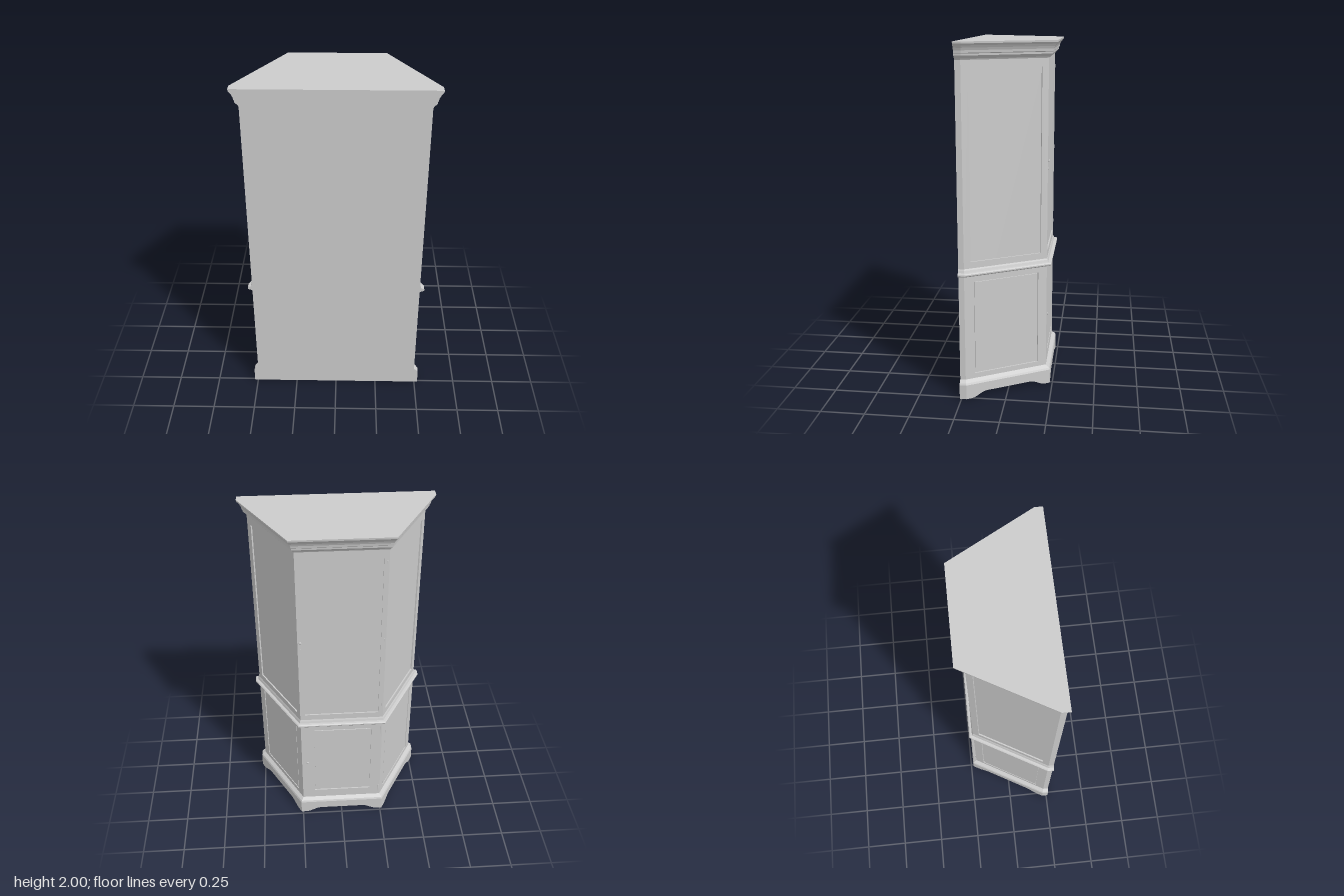
import * as THREE from 'three';

const MAT = new THREE.MeshStandardMaterial({ color: 0xcccccc, flatShading: true });
const SMOOTH = new THREE.MeshStandardMaterial({ color: 0xcccccc });
const DEPTH = 0.008; // depth of the sunk panels

// Six-cornered floor plan, grown outward by d; the flat back stays at z = back
function plan(d, back = 0.26) {
  const nx = 0.8695, nz = 0.494, c = 0.3177 + d;
  const side = 0.495 + d, zf = -0.21 - d;
  const half = [
    [side, back],
    [side, (nx * side - c) / nz],
    [(c + nz * zf) / nx, zf],
  ];
  return [...half, ...half.map(([x, z]) => [-x, z]).reverse()];
}

function meshFrom(name, positions) {
  const geo = new THREE.BufferGeometry();
  geo.setAttribute('position', new THREE.Float32BufferAttribute(positions, 3));
  geo.computeVertexNormals();
  const mesh = new THREE.Mesh(geo, MAT);
  mesh.name = name;
  return mesh;
}

const quad = (out, a, b, c, d) => out.push(...a, ...b, ...c, ...a, ...c, ...d);

// Capped solid that follows the plan through a profile of [y, outward offset]
function moulding(name, profile) {
  const pos = [];
  const rings = profile.map(([y, d]) => plan(d).map(([x, z]) => [x, y, z]));
  for (let r = 0; r < rings.length - 1; r++) {
    for (let i = 0; i < 6; i++) {
      const j = (i + 1) % 6;
      quad(pos, rings[r][i], rings[r][j], rings[r + 1][j], rings[r + 1][i]);
    }
  }
  const low = rings[0], top = rings[rings.length - 1];
  for (let i = 1; i < 5; i++) {
    pos.push(...top[0], ...top[i], ...top[i + 1]);
    pos.push(...low[0], ...low[i + 1], ...low[i]);
  }
  return meshFrom(name, pos);
}

// Hollow plinth wall; the three display sides are cut away between the feet
function plinth(top) {
  const pos = [];
  const outer = plan(0.025), inner = plan(-0.005, 0.235);
  const steps = [0, 0.06, 0.09, 0.12, 0.15, 0.18, 0.21, 0.24];
  const stops = [...steps, ...steps.map((s) => 1 - s).reverse()];
  const lift = (s) => 0.032 * THREE.MathUtils.smoothstep(Math.min(s, 1 - s), 0.06, 0.24);
  for (let i = 0; i < 6; i++) {
    const j = (i + 1) % 6;
    const shaped = i >= 1 && i <= 3;
    const at = (ring, s, y) => [
      ring[i][0] + (ring[j][0] - ring[i][0]) * s, y,
      ring[i][1] + (ring[j][1] - ring[i][1]) * s,
    ];
    const list = shaped ? stops : [0, 1];
    for (let k = 0; k < list.length - 1; k++) {
      const s = list[k], t = list[k + 1];
      const ys = shaped ? lift(s) : 0, yt = shaped ? lift(t) : 0;
      quad(pos, at(outer, s, ys), at(outer, t, yt), at(outer, t, top), at(outer, s, top));
      quad(pos, at(inner, t, yt), at(inner, s, ys), at(inner, s, top), at(inner, t, top));
      quad(pos, at(inner, s, ys), at(inner, t, yt), at(outer, t, yt), at(outer, s, ys));
    }
  }
  return meshFrom('plinth', pos);
}

function rectangle(Type, x0, x1, y0, y1) {
  return new Type([[x0, y0], [x1, y0], [x1, y1], [x0, y1]].map(([x, y]) => new THREE.Vector2(x, y)));
}

// Group lying on one side of the body: x along the side, y up, z outward
function sideGroup(name, i) {
  const p = plan(0), a = p[i], b = p[i + 1];
  const along = new THREE.Vector3(b[0] - a[0], 0, b[1] - a[1]);
  const length = along.length();
  along.normalize();
  const up = new THREE.Vector3(0, 1, 0);
  const group = new THREE.Group();
  group.name = name;
  group.quaternion.setFromRotationMatrix(
    new THREE.Matrix4().makeBasis(along, up, along.clone().cross(up)));
  group.position.set(a[0], 0, a[1]);
  return { group, length };
}

// Flat facing, with an optional opening [x0, x1, y0, y1] and a raised field in it
function facing(name, length, y0, y1, opening, raised) {
  const group = new THREE.Group();
  group.name = name;
  const add = (part, shape, depth) => {
    const geo = new THREE.ExtrudeGeometry(shape, { depth, bevelEnabled: false });
    const mesh = new THREE.Mesh(geo.translate(0, 0, -DEPTH), MAT);
    mesh.name = part;
    group.add(mesh);
  };
  const frame = rectangle(THREE.Shape, 0, length, y0, y1);
  if (opening) frame.holes.push(rectangle(THREE.Path, ...opening));
  add('frame', frame, DEPTH);
  if (raised) {
    const [a, b, c, d] = opening, g = 0.006;
    add('raisedField', rectangle(THREE.Shape, a + g, b - g, c + g, d - g), DEPTH * 0.8);
  }
  return group;
}

export function createModel() {
  const model = new THREE.Group();
  model.name = 'cornerCabinet';

  // Carcass and mouldings
  model.add(
    moulding('carcass', [[0.09, -DEPTH], [1.95, -DEPTH]]),
    plinth(0.085),
    moulding('plinthCap', [[0.085, 0.025], [0.095, 0.02], [0.11, 0]]),
    moulding('waistMoulding', [
      [0.725, 0], [0.731, 0.012], [0.734, 0.022], [0.739, 0.026], [0.746, 0.026],
      [0.751, 0.02], [0.753, 0.008], [0.765, 0.004], [0.773, 0],
    ]),
    moulding('crownMoulding', [
      [1.905, 0], [1.912, 0.004], [1.922, 0.014], [1.928, 0.02], [1.938, 0.021],
      [1.942, 0.025], [1.955, 0.027], [1.968, 0.033], [1.98, 0.041], [1.99, 0.05], [2, 0.051],
    ]),
  );

  // Facings of the five visible sides, going round from +x to -x
  const names = ['leftReturn', 'leftSide', 'front', 'rightSide', 'rightReturn'];
  names.forEach((name, i) => {
    const { group, length } = sideGroup(name, i);
    let upper = null, lower = null;
    if (name === 'front') {
      upper = [0.028, length - 0.028, 0.81, 1.86];
      lower = [0.075, length - 0.065, 0.17, 0.685];
    } else if (name.endsWith('Side')) {
      const mirror = ([a, b, c, d]) => (i === 3 ? [length - b, length - a, c, d] : [a, b, c, d]);
      upper = mirror([0.04, 0.465, 0.81, 1.86]);
      lower = mirror([0.055, 0.45, 0.14, 0.695]);
    }
    group.add(
      facing('lowerFacing', length, 0.1, 0.74, lower, !!lower),
      facing('upperFacing', length, 0.74, 1.93, upper, false),
    );
    if (name === 'front') addHardware(group, length);
    model.add(group);
  });
  return model;
}

// Knobs, keyhole plate and hinges on the doors
function addHardware(front, length) {
  const add = (name, geo, x, y, z) => {
    const mesh = new THREE.Mesh(geo, SMOOTH);
    mesh.name = name;
    mesh.position.set(x, y, z);
    front.add(mesh);
  };
  const disc = (r, h) => new THREE.CylinderGeometry(r, r, h, 16).rotateX(Math.PI / 2);
  for (const [door, x, y] of [['upper', 0.015, 1.34], ['lower', 0.035, 0.42]]) {
    add(door + 'KnobStem', disc(0.003, 0.006), x, y, 0.002);
    add(door + 'Knob', new THREE.SphereGeometry(0.008, 16, 10).scale(1, 1, 0.5), x, y, 0.005);
  }
  add('keyholePlate', disc(0.005, 0.003), 0.015, 1.295, 0.001);
  for (const y of [0.165, 0.665]) {
    add('lowerHinge', new THREE.CylinderGeometry(0.003, 0.003, 0.06, 10), length - 0.01, y, 0);
  }
  for (const y of [0.87, 1.34, 1.83]) {
    add('upperHinge', new THREE.CylinderGeometry(0.0025, 0.0025, 0.02, 10), length - 0.01, y, 0);
  }
}
